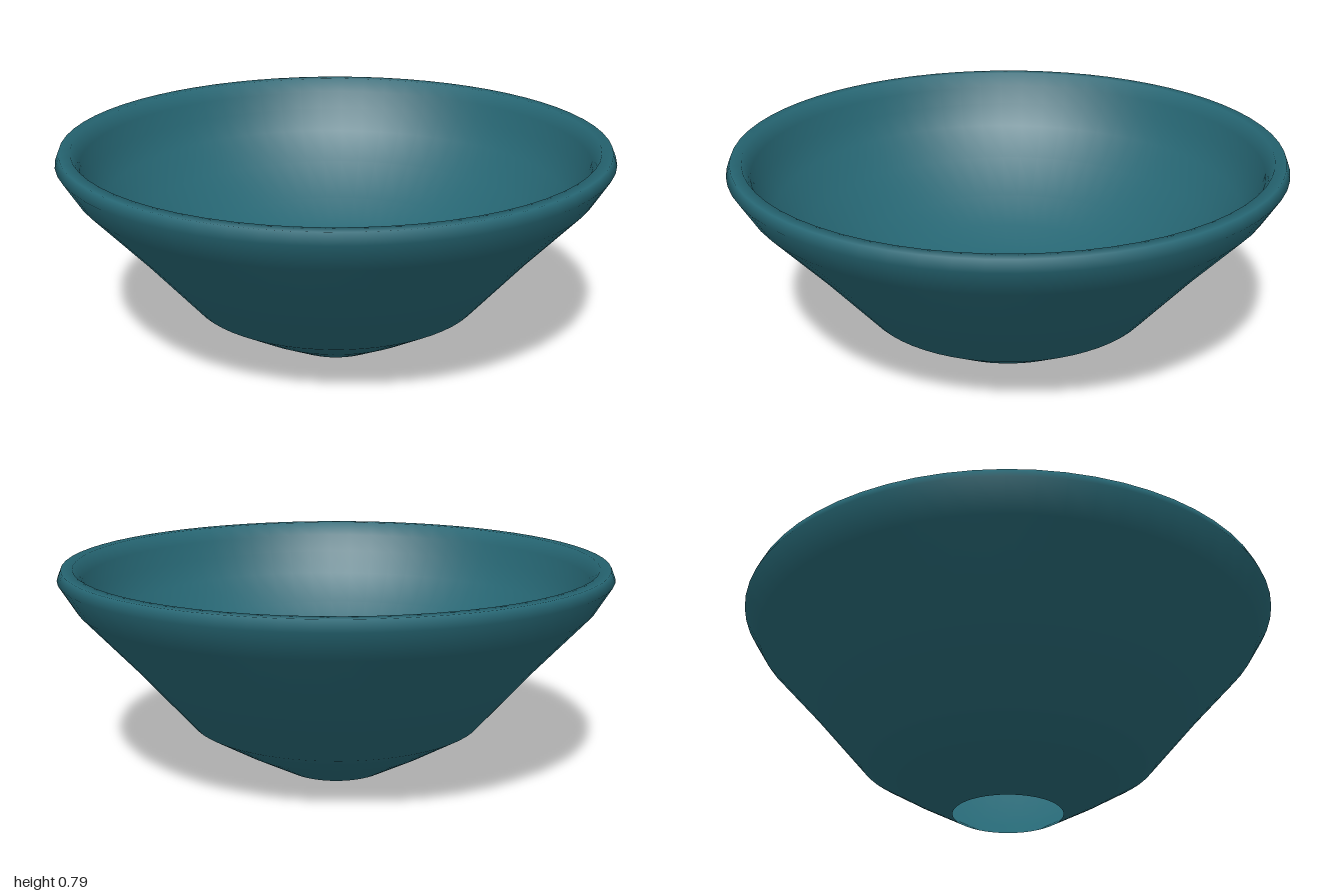
import * as THREE from 'three';

export function createModel() {
  const model = new THREE.Group();
  const glaze = new THREE.MeshStandardMaterial({ color: 0x266673, side: THREE.DoubleSide });
  glaze.name = 'teal glaze';

  // One continuous wall: open foot, outer flare, rounded lip, inner basin, drain hole
  const profile = [
    [0.2, 0], [0.38, 0.1], [0.545, 0.2], [0.75, 0.44], [0.94, 0.65],
    [1, 0.75], [0.985, 0.787], [0.945, 0.787], [0.918, 0.735],
    [0.9, 0.665], [0.85, 0.58], [0.75, 0.47], [0.6, 0.353],
    [0.45, 0.275], [0.3, 0.225], [0.07, 0.195],
  ].map(([r, y]) => new THREE.Vector2(r, y));

  const bowl = new THREE.Mesh(new THREE.LatheGeometry(profile, 64), glaze);
  bowl.name = 'basin';
  model.add(bowl);
  return model;
}
